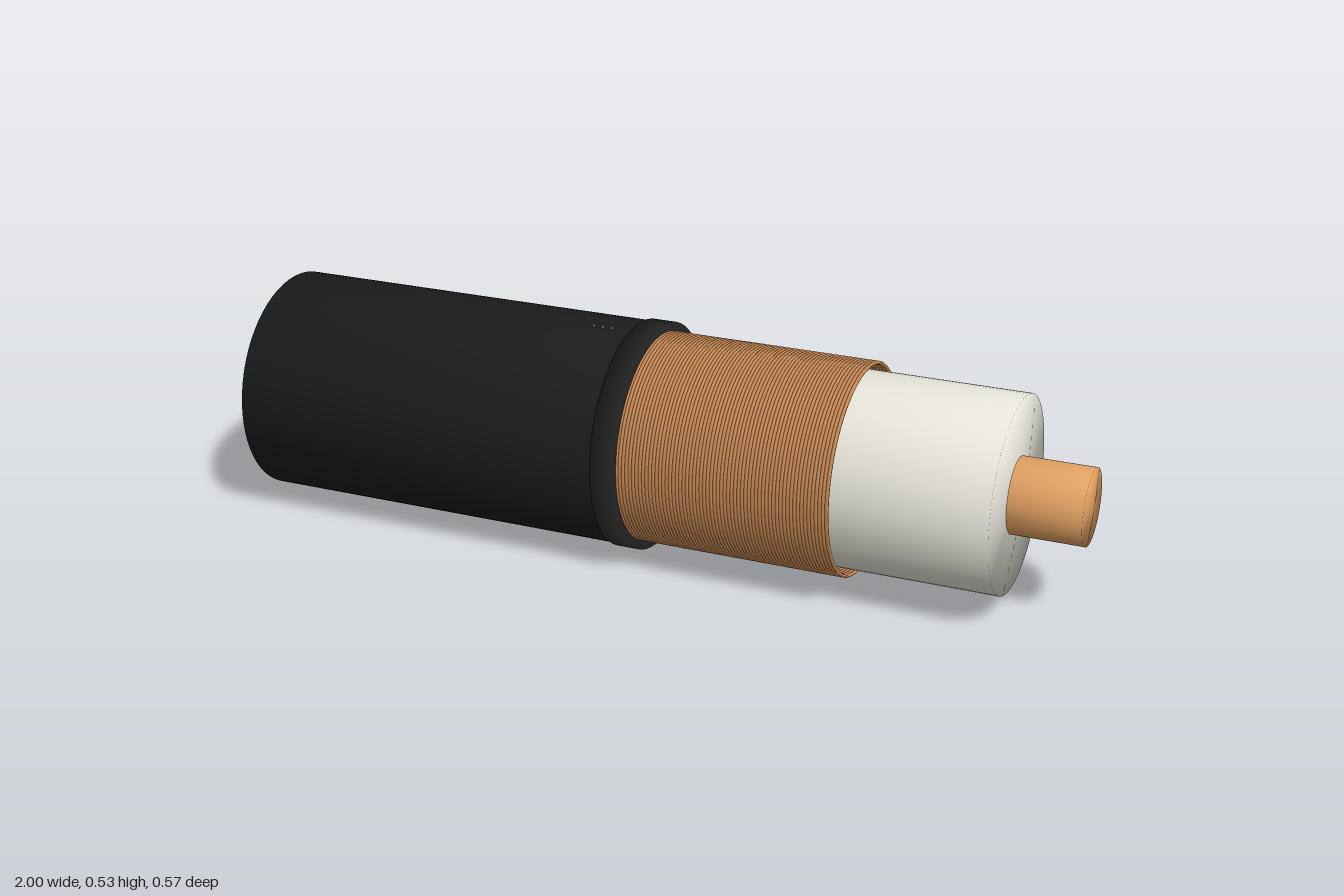
import * as THREE from 'three';

const mat = (color) => new THREE.MeshStandardMaterial({ color });

// Solid round bar along x from x0 to x1, softly shaded over its ends
function bar(name, radius, x0, x1, material) {
  const profile = [[0, x0], [radius, x0], [radius, x1], [0, x1]]
    .map(([r, x]) => new THREE.Vector2(r, x));
  const geometry = new THREE.LatheGeometry(profile, 64).rotateZ(-Math.PI / 2);
  const mesh = new THREE.Mesh(geometry, material);
  mesh.name = name;
  return mesh;
}

export function createModel() {
  const model = new THREE.Group();
  model.name = 'strippedCable';
  const cable = new THREE.Group();
  cable.name = 'cable';
  model.add(cable);

  // Outer jacket with a raised collar at the cut end
  cable.add(bar('jacket', 0.262, -0.988, -0.03, mat(0x1b1b1b)));
  cable.add(bar('jacketCollar', 0.267, -0.075, -0.02, mat(0x262626)));

  // White insulation and copper core
  cable.add(bar('insulation', 0.225, -0.1, 0.83, mat(0xe6e4d8)));
  cable.add(bar('coreConductor', 0.0875, 0.7, 0.996, mat(0xe0a062)));

  // Shield of fine copper wire, wound in closely packed rings
  const shield = new THREE.Group();
  shield.name = 'wireShield';
  const ringGeometry = new THREE.TorusGeometry(0.2415, 0.0045, 6, 72).rotateY(Math.PI / 2);
  const copper = mat(0xc98a55);
  const rings = 62;
  for (let i = 0; i < rings; i++) {
    const ring = new THREE.Mesh(ringGeometry, copper);
    ring.name = 'shieldWire';
    ring.position.x = -0.02 + (0.496 * i) / (rings - 1);
    shield.add(ring);
  }
  cable.add(shield);

  // Three tiny marker dots on the jacket
  const dotGeometry = new THREE.SphereGeometry(0.004, 8, 6);
  const dotMaterial = mat(0x777777);
  for (let i = 0; i < 3; i++) {
    const dot = new THREE.Mesh(dotGeometry, dotMaterial);
    dot.name = 'jacketDot';
    dot.position.set(-0.17 + 0.022 * i, 0.26, 0.032);
    cable.add(dot);
  }

  // The cable lies slightly turned
  cable.rotation.y = THREE.MathUtils.degToRad(-2.5);
  cable.position.set(0, 0.27, 0.0175);
  return model;
}
